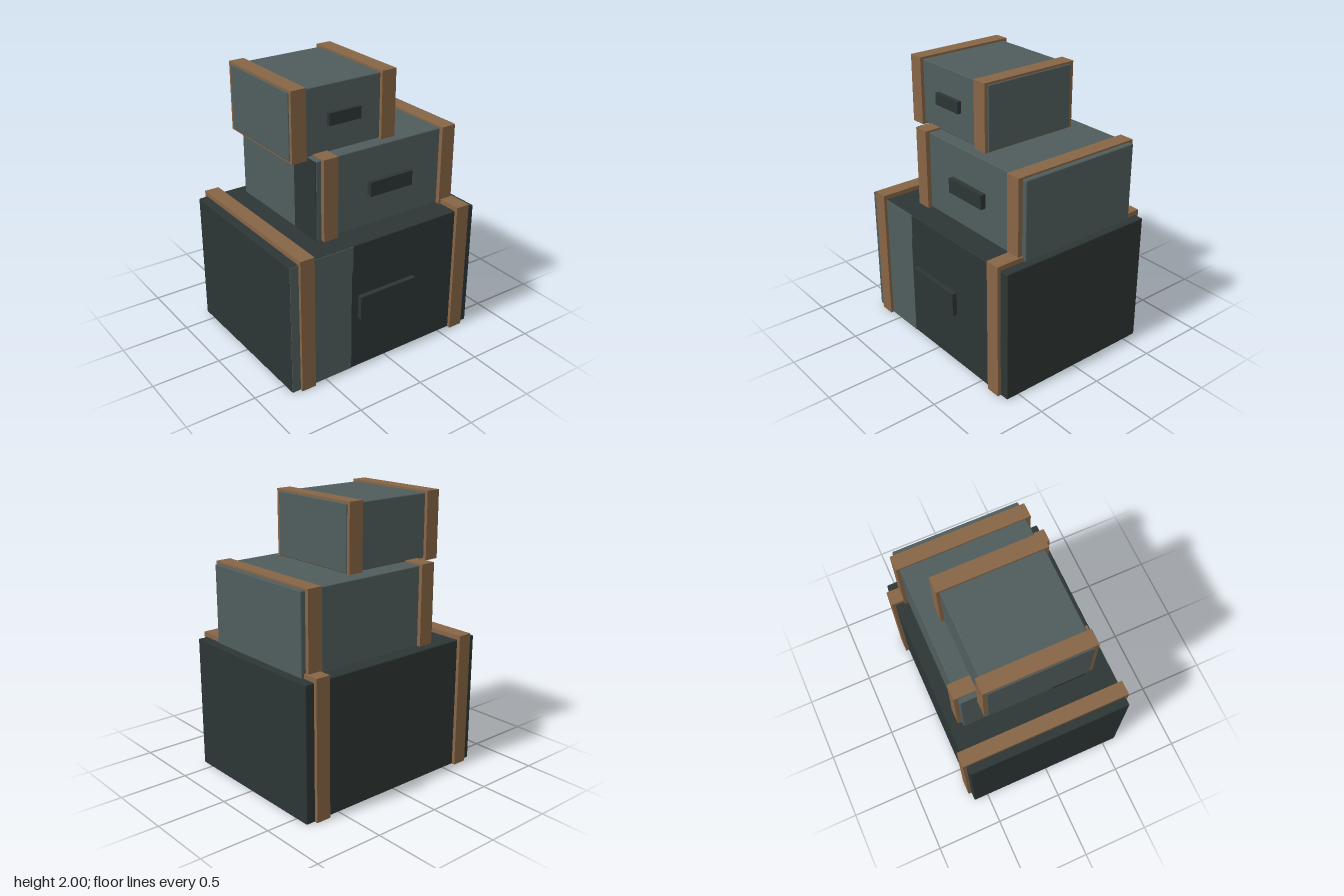
import * as THREE from 'three';
import { RoundedBoxGeometry } from 'three/addons/geometries/RoundedBoxGeometry.js';

const mat = (name, color, side = THREE.FrontSide) => {
  const m = new THREE.MeshStandardMaterial({ color, side });
  m.name = name;
  return m;
};

export function createModel() {
  const slate = mat('slateGrey', 0x505d5d);
  const dark = mat('darkSlate', 0x2d3635);
  const wood = mat('brownStrap', 0x876545);

  // Box from [min, max] ranges on each axis; a bevel chamfers the edges
  const block = (name, material, [x0, x1], [y0, y1], [z0, z1], bevel = 0) => {
    const size = [x1 - x0, y1 - y0, z1 - z0];
    const geo = bevel ? new RoundedBoxGeometry(...size, 1, bevel) : new THREE.BoxGeometry(...size);
    const mesh = new THREE.Mesh(geo, material);
    mesh.position.set((x0 + x1) / 2, (y0 + y1) / 2, (z0 + z1) / 2);
    mesh.name = name;
    return mesh;
  };

  // Each crate: body, two straps wrapped round it, and a front handle
  const crates = [
    { name: 'bottomCrate', material: dark,
      x: [-0.77, 0.77], y: [0, 0.96], z: [-0.61, 0.6],
      straps: [[-0.705, -0.597], [0.595, 0.703]], strapY: [0.002, 0.993], strapZ: [-0.635, 0.625],
      handleX: [-0.235, 0.23], handleY: [0.397, 0.57], handleZ: 0.635 },
    { name: 'middleCrate', material: slate,
      x: [-0.44, 0.725], y: [0.96, 1.527], z: [-0.515, 0.415],
      straps: [[-0.403, -0.292], [0.58, 0.69]], strapY: [0.95, 1.54], strapZ: [-0.543, 0.448],
      handleX: [-0.03, 0.32], handleY: [1.185, 1.29], handleZ: 0.453 },
    { name: 'topCrate', material: slate,
      x: [-0.583, 0.245], y: [1.53, 1.985], z: [-0.383, 0.325],
      straps: [[-0.575, -0.465], [0.125, 0.237]], strapY: [1.518, 2], strapZ: [-0.407, 0.35],
      handleX: [-0.293, -0.045], handleY: [1.715, 1.8], handleZ: 0.354 },
  ];

  const model = new THREE.Group();
  model.name = 'crateStack';
  for (const c of crates) {
    const crate = new THREE.Group();
    crate.name = c.name;
    crate.add(block('crateBody', c.material, c.x, c.y, c.z, 0.008));
    c.straps.forEach((sx, i) =>
      crate.add(block(i ? 'leftStrap' : 'rightStrap', wood, sx, c.strapY, c.strapZ)));
    crate.add(block('handle', dark, c.handleX, c.handleY, [c.z[1] - 0.02, c.handleZ]));
    model.add(crate);
  }

  // Pale panel on the front of the bottom crate, with a stepped edge
  const panel = new THREE.Shape([
    [-0.768, 0.004], [-0.29, 0.004], [-0.29, 0.73], [-0.28, 0.8], [-0.278, 0.957], [-0.768, 0.957],
  ].map(([x, y]) => new THREE.Vector2(x, y)));
  const pale = new THREE.Mesh(
    new THREE.ExtrudeGeometry(panel, { depth: 0.005, bevelEnabled: false }), slate);
  pale.position.z = 0.598;
  pale.name = 'palePanel';
  model.add(pale);

  // Dark panel on the right end of the middle crate
  model.add(block('darkPanel', dark, [-0.443, -0.438], [0.963, 1.524], [0.16, 0.412]));

  return model;
}
